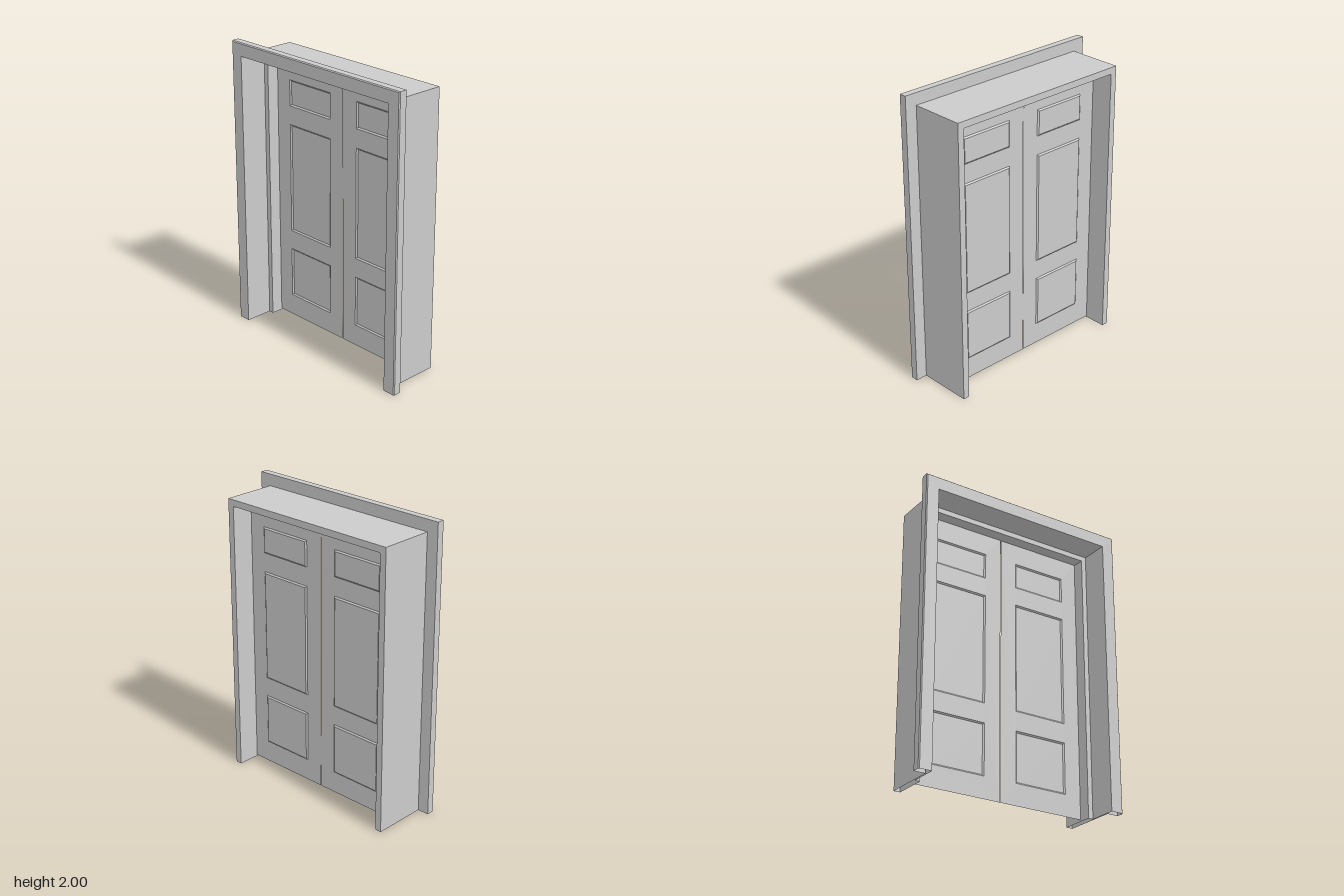
import * as THREE from 'three';

const material = new THREE.MeshStandardMaterial({ color: 0xcccccc, side: THREE.DoubleSide });

function part(name, geometry) {
  const mesh = new THREE.Mesh(geometry, material);
  mesh.name = name;
  return mesh;
}

// Flat-faced surface joining successive rows of [x, y, z] points
function loft(rows) {
  const positions = [];
  for (let i = 0; i < rows.length - 1; i++) {
    for (let j = 0; j < rows[i].length - 1; j++) {
      const a = rows[i][j], b = rows[i + 1][j], c = rows[i + 1][j + 1], d = rows[i][j + 1];
      positions.push(...a, ...c, ...b, ...a, ...d, ...c);
    }
  }
  const geometry = new THREE.BufferGeometry();
  geometry.setAttribute('position', new THREE.Float32BufferAttribute(positions, 3));
  geometry.computeVertexNormals();
  return geometry;
}

// Sweeps a section of [half width, x] points up, over and down the opening
function arch(name, section) {
  return part(name, loft(section.map(([h, x]) => [
    [x, 0, h], [x, 1.25 + h, h], [x, 1.25 + h, -h], [x, 0, -h],
  ])));
}

// Closed rectangle in the door plane
function rectLoop(x, z0, z1, y0, y1) {
  return [[x, y1, z1], [x, y0, z1], [x, y0, z0], [x, y1, z0], [x, y1, z1]];
}

function rectPath(path, z0, z1, y0, y1) {
  return path.setFromPoints(rectLoop(0, z0, z1, y0, y1)
    .map(([, y, z]) => new THREE.Vector2(-z, y)));
}

// One thin leaf with three raised panels pressed out of it
function doorLeaf(name, side) {
  const leaf = new THREE.Group();
  leaf.name = name;
  const span = (a, b) => (side > 0 ? [a, b] : [-b, -a]);
  const face = 0.062, raise = 0.008, bevel = 0.01;

  const sheet = rectPath(new THREE.Shape(), ...span(0.002, 0.623), 0.01, 1.877);
  const [z0, z1] = span(0.12, 0.505);
  for (const [y0, y1] of [[0.16, 0.515], [0.65, 1.42], [1.55, 1.73]]) {
    sheet.holes.push(rectPath(new THREE.Path(), z0, z1, y0, y1));
    const zc = (z0 + z1) / 2, yc = (y0 + y1) / 2;
    leaf.add(part('raisedPanel', loft([
      rectLoop(face, z0, z1, y0, y1),
      rectLoop(face + raise, z0 + bevel, z1 - bevel, y0 + bevel, y1 - bevel),
      rectLoop(face + raise, zc, zc, yc, yc),
    ])));
  }
  const geometry = new THREE.ShapeGeometry(sheet);
  geometry.rotateY(Math.PI / 2);
  geometry.translate(face, 0, 0);
  leaf.add(part('stilesAndRails', geometry));
  return leaf;
}

export function createModel() {
  const model = new THREE.Group();
  model.name = 'doubleDoor';

  // Hollow surround: jamb, casing with a chamfered edge, and rebated inner reveal
  model.add(arch('frameAndCasing', [
    [0.625, 0.215], [0.67, 0.215], [0.67, -0.158], [0.75, -0.158], [0.75, -0.208],
    [0.744, -0.215], [0.66, -0.215], [0.66, -0.02], [0.625, -0.02], [0.625, 0.215],
  ]));

  // Pair of leaves
  model.add(doorLeaf('doorLeafA', 1), doorLeaf('doorLeafB', -1));
  return model;
}
